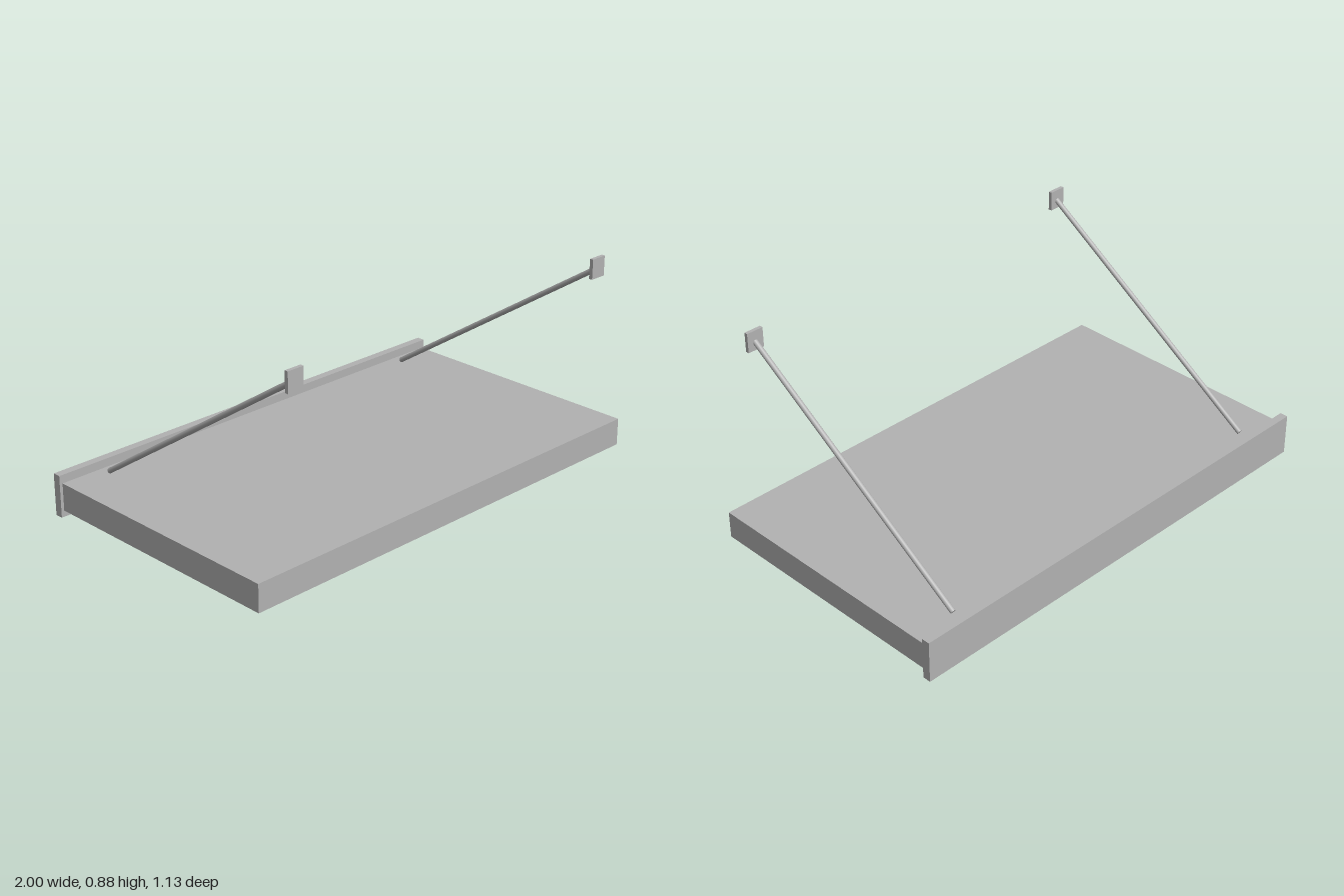
import * as THREE from 'three';

export function createModel() {
  const model = new THREE.Group();
  model.name = 'canopy';
  const grey = new THREE.MeshStandardMaterial({ color: 0xb2b2b2 });
  grey.name = 'light grey';

  const add = (name, geometry, x, y, z) => {
    const mesh = new THREE.Mesh(geometry, grey);
    mesh.name = name;
    mesh.position.set(x, y, z);
    model.add(mesh);
    return mesh;
  };

  // Flat slab and the taller board along its back edge
  add('slab', new THREE.BoxGeometry(1.974, 0.114, 1.1), 0, 0.083, 0.017);
  add('fascia', new THREE.BoxGeometry(2, 0.175, 0.034), 0, 0.0875, -0.55);

  for (const [side, s] of [['left', 1], ['right', -1]]) {
    // Mounting plate and sloping tie rod
    add(side + 'WallPlate', new THREE.BoxGeometry(0.072, 0.082, 0.015), s * 0.802, 0.836, 0.5595);
    const low = new THREE.Vector3(s * 0.802, 0.15, -0.48);
    const high = new THREE.Vector3(s * 0.802, 0.83, 0.557);
    const direction = high.clone().sub(low);
    const middle = low.clone().add(high).multiplyScalar(0.5);
    const rod = add(side + 'TieRod',
      new THREE.CylinderGeometry(0.011, 0.011, direction.length(), 20),
      middle.x, middle.y, middle.z);
    rod.quaternion.setFromUnitVectors(new THREE.Vector3(0, 1, 0), direction.normalize());

    // Round light disc under the slab
    add(side + 'Downlight', new THREE.CylinderGeometry(0.054, 0.054, 0.008, 32), s * 0.433, 0.024, -0.048);
  }
  return model;
}
